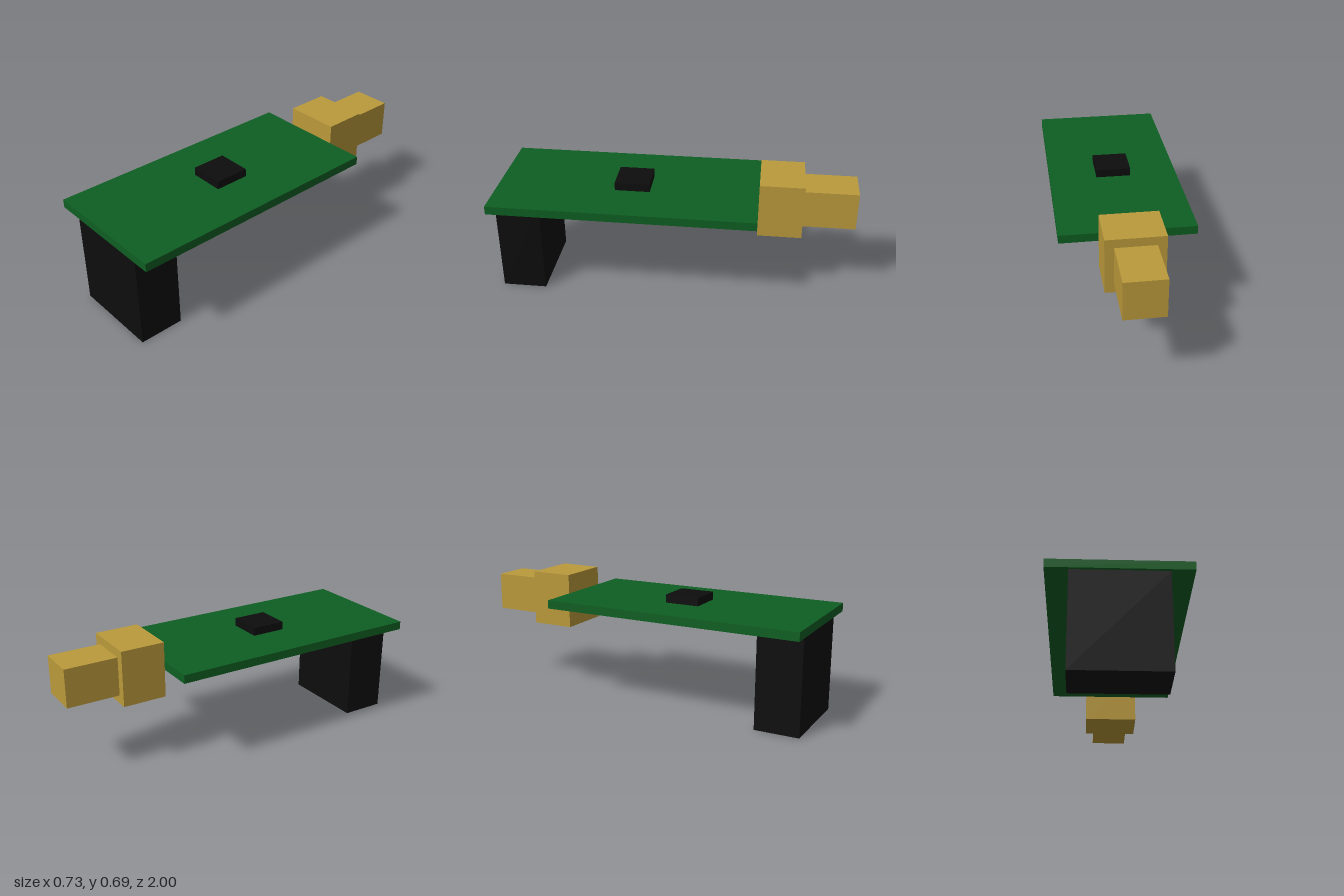
import * as THREE from 'three';

const flat = (name, color) => {
  const m = new THREE.MeshStandardMaterial({ color });
  m.name = name;
  return m;
};

export function createModel() {
  const green = flat('boardGreen', 0x0e5f22);
  const black = flat('plasticBlack', 0x0d0d0d);
  const gold = flat('brassGold', 0xbb9a3b);
  const model = new THREE.Group();
  model.name = 'circuitBoardModule';

  // Box centred on x, given by its width and its y and z ranges
  const block = (name, material, width, [y0, y1], [z0, z1]) => {
    const mesh = new THREE.Mesh(new THREE.BoxGeometry(width, y1 - y0, z1 - z0), material);
    mesh.name = name;
    mesh.position.set(0, (y0 + y1) / 2, (z0 + z1) / 2);
    model.add(mesh);
  };

  // Flat board with a chip on top and a pin header block below
  block('board', green, 0.73, [0.538, 0.585], [-0.464, 1]);
  block('chip', black, 0.196, [0.585, 0.63], [0.14, 0.336]);
  block('headerBlock', black, 0.496, [0, 0.538], [0.738, 0.985]);

  // Stepped connector at the back edge
  block('connectorBase', gold, 0.312, [0.383, 0.693], [-0.708, -0.464]);
  block('connectorTip', gold, 0.216, [0.431, 0.645], [-1, -0.708]);

  return model;
}
